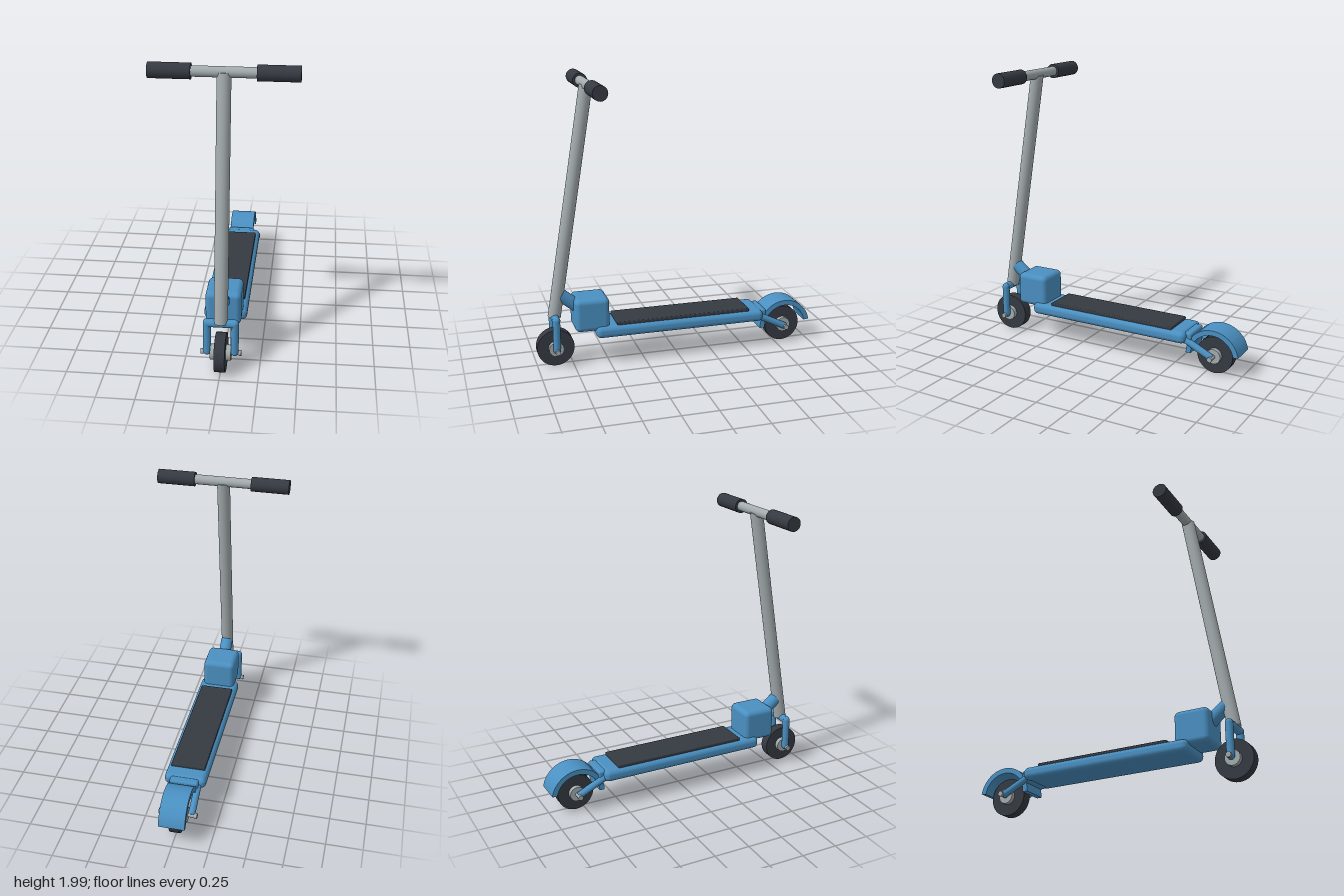
import * as THREE from 'three';
import { RoundedBoxGeometry } from 'three/addons/geometries/RoundedBoxGeometry.js';

const mat = (name, color) => {
  const m = new THREE.MeshStandardMaterial({ color });
  m.name = name;
  return m;
};

export function createModel() {
  const blue = mat('blue paint', 0x4a90c2);
  const silver = mat('silver metal', 0xa3abae);
  const dark = mat('dark rubber', 0x353a42);
  const model = new THREE.Group();
  model.name = 'scooter';

  const add = (name, geometry, material, x = 0, y = 0, z = 0, parent = model) => {
    const mesh = new THREE.Mesh(geometry, material);
    mesh.name = name;
    mesh.position.set(x, y, z);
    parent.add(mesh);
    return mesh;
  };

  // Straight tube between two points, optionally with round ends
  const rod = (name, a, b, r, material, round = false, parent = model) => {
    const from = new THREE.Vector3(...a), to = new THREE.Vector3(...b);
    const dir = to.clone().sub(from), len = dir.length();
    const geo = round ? new THREE.CapsuleGeometry(r, len, 6, 20) : new THREE.CylinderGeometry(r, r, len, 28);
    const mid = from.add(to).multiplyScalar(0.5);
    const mesh = add(name, geo, material, mid.x, mid.y, mid.z, parent);
    mesh.quaternion.setFromUnitVectors(new THREE.Vector3(0, 1, 0), dir.normalize());
    return mesh;
  };

  // Deck with grip pad
  add('deck', new RoundedBoxGeometry(0.29, 0.085, 1.225, 3, 0.035), blue, 0, 0.243, -0.013);
  add('gripPad', new RoundedBoxGeometry(0.24, 0.03, 0.97, 2, 0.008), dark, 0, 0.29, -0.035);

  // Battery box and neck joining it to the stem
  add('batteryBox', new RoundedBoxGeometry(0.235, 0.235, 0.24, 4, 0.035), blue, 0, 0.368, 0.62);
  rod('neck', [0, 0.505, 0.825], [0, 0.39, 0.68], 0.045, blue);

  // Stem and handlebar
  rod('stem', [0, 0.35, 0.87], [0, 1.94, 0.61], 0.045, silver);
  rod('handlebar', [-0.3, 1.943, 0.61], [0.3, 1.943, 0.61], 0.034, silver);

  // Wheels with hub and axle
  const wheel = (name, z) => {
    const g = new THREE.Group();
    g.name = name;
    g.position.set(0, 0.13, z);
    model.add(g);
    rod('tyre', [-0.035, 0, 0], [0.035, 0, 0], 0.13, dark, false, g).geometry =
      new THREE.CylinderGeometry(0.13, 0.13, 0.07, 40);
    rod('hub', [-0.068, 0, 0], [0.068, 0, 0], 0.052, silver, false, g);
    rod('axle', [-0.13, 0, 0], [0.13, 0, 0], 0.015, silver, false, g);
  };
  wheel('frontWheel', 0.87);
  wheel('rearWheel', -0.81);

  // Front fork crown
  rod('forkCrown', [-0.088, 0.348, 0.87], [0.088, 0.348, 0.87], 0.028, blue);

  // Mirrored parts
  for (const s of [-1, 1]) {
    const side = s > 0 ? 'left' : 'right';
    rod(side + 'Grip', [s * 0.2, 1.943, 0.61], [s * 0.465, 1.943, 0.61], 0.05, dark);
    rod(side + 'ForkLeg', [s * 0.09, 0.135, 0.87], [s * 0.09, 0.35, 0.87], 0.026, blue, true);
    rod(side + 'RearArm', [s * 0.093, 0.228, -0.61], [s * 0.093, 0.13, -0.81], 0.024, blue);
    for (const z of [0.87, -0.81]) {
      rod(side + 'AxleNut', [s * 0.115, 0.13, z], [s * 0.133, 0.13, z], 0.018, silver);
    }
  }

  // Rear mount and curved fender over the rear wheel
  add('rearMount', new RoundedBoxGeometry(0.2, 0.085, 0.08, 2, 0.015), blue, 0, 0.235, -0.62);
  const arc = new THREE.Shape();
  const a0 = 0.17, a1 = Math.PI;
  arc.absarc(0, 0, 0.192, a0, a1, false);
  arc.absarc(0, 0, 0.156, a1, a0, true);
  arc.closePath();
  const fender = new THREE.ExtrudeGeometry(arc, { depth: 0.18, bevelEnabled: false, curveSegments: 28 });
  fender.translate(0, 0, -0.09).rotateY(Math.PI / 2);
  add('rearFender', fender, blue, 0, 0.132, -0.81);

  return model;
}
